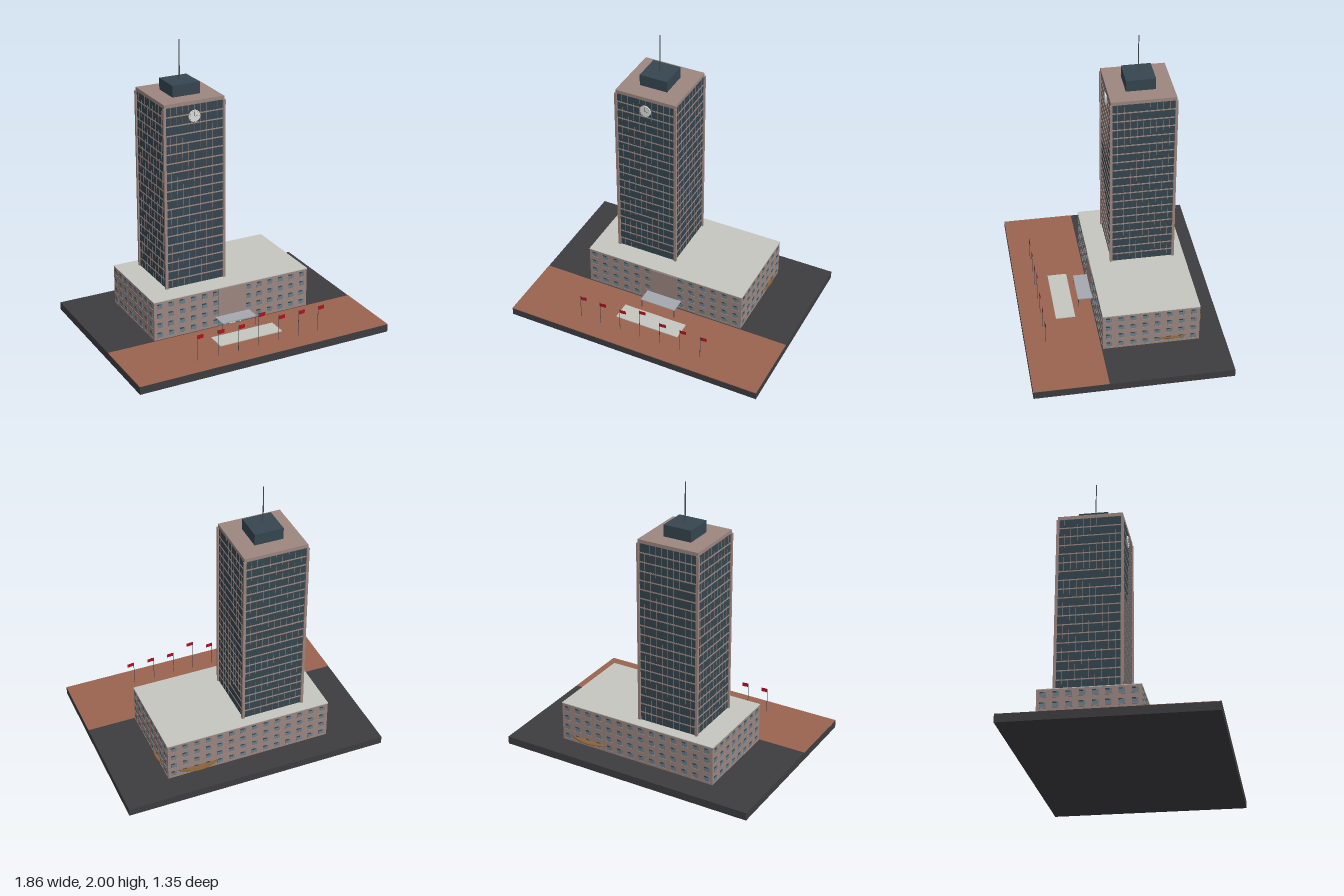
import * as THREE from 'three';

const mat = (color, side = THREE.FrontSide) => new THREE.MeshStandardMaterial({ color, side });

export function createModel() {
  const root = new THREE.Group();
  const stone = mat(0x9c867f), glass = mat(0x35454f), pane = mat(0x6c7f8a), asphalt = mat(0x3d3d40);
  const paving = mat(0x9a6450), concrete = mat(0xc6c6c1), metal = mat(0x4a4d50), white = mat(0xdcdcd6);
  const canopyMat = mat(0xa5a9b0), red = mat(0xb01020, THREE.DoubleSide), bronze = mat(0x8a6238);

  const add = (parent, name, geo, m, x, y, z) => {
    const mesh = new THREE.Mesh(geo, m);
    mesh.name = name;
    mesh.position.set(x, y, z);
    parent.add(mesh);
    return mesh;
  };
  // Box given by its lower and upper limits on each axis
  const box = (parent, name, m, x0, x1, y0, y1, z0, z1) =>
    add(parent, name, new THREE.BoxGeometry(x1 - x0, y1 - y0, z1 - z0), m, (x0 + x1) / 2, (y0 + y1) / 2, (z0 + z1) / 2);
  const group = (name, parent = root) => {
    const g = new THREE.Group();
    g.name = name;
    parent.add(g);
    return g;
  };

  // Ground slab and paved forecourt
  const G = 0.055;
  box(root, 'groundSlab', asphalt, -0.93, 0.93, 0, G, -0.675, 0.675);
  box(root, 'forecourt', paving, -0.93, 0.93, G - 0.004, G + 0.002, 0.17, 0.675);
  box(root, 'forecourtPlatform', concrete, -0.235, 0.235, G, G + 0.008, 0.3, 0.435);

  // Podium block
  const podium = group('podium');
  const P = { x: 0.587, z0: -0.5, z1: 0.16, top: 0.335 };
  const zc = (P.z0 + P.z1) / 2, pd = (P.z1 - P.z0) / 2;
  box(podium, 'podiumWalls', stone, -P.x, P.x, G, P.top, P.z0, P.z1);
  box(podium, 'podiumRoof', concrete, -P.x - 0.002, P.x + 0.002, P.top, P.top + 0.005, P.z0 - 0.002, P.z1 + 0.002);

  // Window rows, laid out on a facade whose wall lies at local z = depth
  const facade = (name, angle, halfWidth, depth, columns, skip) => {
    const f = group(name, podium);
    f.position.set(0, 0, zc);
    f.rotation.y = angle;
    const step = (2 * halfWidth) / columns;
    for (let row = 0; row < 4; row++) {
      const y = 0.092 + row * 0.07;
      for (let c = 0; c < columns; c++) {
        const x = -halfWidth + (c + 0.5) * step;
        if (skip && Math.abs(x) < skip) continue;
        box(f, 'windowPane', pane, x - 0.02, x + 0.02, y - 0.018, y + 0.018, depth, depth + 0.002);
        box(f, 'windowDark', glass, x - 0.02, x + 0.006, y + 0.01, y + 0.018, depth, depth + 0.004);
        box(f, 'windowSill', stone, x - 0.024, x + 0.024, y - 0.022, y - 0.018, depth, depth + 0.005);
      }
    }
  };
  facade('frontWindows', 0, P.x, pd, 14, 0.11);
  facade('backWindows', Math.PI, P.x, pd, 14, 0);
  facade('leftWindows', Math.PI / 2, pd, P.x, 8, 0);
  facade('rightWindows', -Math.PI / 2, pd, P.x, 8, 0);

  // Entrance with plain panel, doors and canopy
  const entrance = group('entrance');
  box(entrance, 'entrancePanel', stone, -0.105, 0.105, 0.13, 0.33, P.z1, P.z1 + 0.006);
  box(entrance, 'entranceGlass', pane, -0.105, 0.105, G, 0.118, P.z1, P.z1 + 0.003);
  for (let i = 0; i < 4; i++) {
    const x = -0.06 + i * 0.04;
    box(entrance, 'doorFrame', white, x - 0.004, x + 0.004, G, 0.115, P.z1, P.z1 + 0.006);
  }
  box(entrance, 'doorLeaf', white, -0.02, 0.02, G, 0.11, P.z1, P.z1 + 0.005);
  box(entrance, 'canopy', canopyMat, -0.13, 0.13, 0.12, 0.127, P.z1, 0.265);
  for (const x of [-0.125, 0.125])
    add(entrance, 'canopyPost', new THREE.CylinderGeometry(0.003, 0.003, 0.065, 8), metal, x, 0.0875, 0.26);

  // Round bronze ledge passing through the rear left corner
  const ledge = group('cornerLedge');
  add(ledge, 'ledgeDisc', new THREE.CylinderGeometry(0.24, 0.232, 0.007, 64), bronze, 0.37, 0.101, -0.31);
  const rim = add(ledge, 'ledgeRim', new THREE.TorusGeometry(0.236, 0.005, 8, 64), bronze, 0.37, 0.104, -0.31);
  rim.rotation.x = Math.PI / 2;

  // Tower: glass core, corner piers, floor bands and mullions
  const tower = group('tower');
  tower.position.set(-0.205, 0, -0.205);
  const H = 0.216, y0 = P.top, y1 = 1.62, floors = 20;
  box(tower, 'glassCore', glass, -H, H, y0, y1, -H, H);
  for (const sx of [-1, 1]) for (const sz of [-1, 1])
    add(tower, 'cornerPier', new THREE.BoxGeometry(0.018, y1 - y0, 0.018), stone, sx * 0.217, (y0 + y1) / 2, sz * 0.217);
  for (let i = 1; i < floors; i++) {
    const y = y0 + (i * (y1 - y0)) / floors, b = H + 0.003;
    box(tower, 'floorBand', stone, -b, b, y - 0.004, y + 0.004, -b, b);
  }
  for (let s = 0; s < 4; s++) {
    const side = group('mullions', tower);
    side.rotation.y = (s * Math.PI) / 2;
    for (let i = 1; i < 10; i++) {
      const x = -H + (i * 2 * H) / 10;
      box(side, 'mullion', stone, x - 0.0008, x + 0.0008, y0, y1, H, H + 0.002);
    }
  }
  box(tower, 'towerRoof', stone, -0.219, 0.219, y1, 1.645, -0.219, 0.219);
  box(tower, 'penthouse', glass, -0.1, 0.1, 1.645, 1.725, -0.1, 0.1);
  add(tower, 'mast', new THREE.CylinderGeometry(0.003, 0.004, 0.275, 10), metal, 0, 1.8625, 0);

  // Clock on the front of the tower
  const clock = group('clock', tower);
  clock.position.set(0, 1.54, H + 0.004);
  const face = add(clock, 'clockFace', new THREE.CylinderGeometry(0.041, 0.041, 0.008, 32), white, 0, 0, 0);
  face.rotation.x = Math.PI / 2;
  for (let i = 0; i < 12; i++) {
    const a = (i * Math.PI) / 6;
    const tick = add(clock, 'hourMark', new THREE.BoxGeometry(0.002, 0.006, 0.002), metal,
      Math.sin(a) * 0.036, Math.cos(a) * 0.036, 0.004);
    tick.rotation.z = -a;
  }
  box(clock, 'minuteHand', metal, -0.001, 0.001, 0, 0.028, 0.003, 0.006);
  box(clock, 'hourHand', metal, 0, 0.018, -0.001, 0.001, 0.003, 0.006);

  // Row of flags, the middle one taller
  const flags = group('flags');
  for (let i = -3; i <= 3; i++) {
    const x = i * 0.152, top = i === 0 ? 0.295 : 0.242;
    add(flags, 'flagPole', new THREE.CylinderGeometry(0.0018, 0.0018, top - G, 6), metal, x, (top + G) / 2, 0.535);
    const cloth = new THREE.PlaneGeometry(0.046, 0.028, 8, 1);
    const p = cloth.attributes.position;
    for (let k = 0; k < p.count; k++) p.setZ(k, Math.sin((p.getX(k) + 0.023) * 130) * 0.002);
    cloth.computeVertexNormals();
    add(flags, 'flagCloth', cloth, red, x + 0.0245, top - 0.015, 0.535);
  }
  return root;
}
